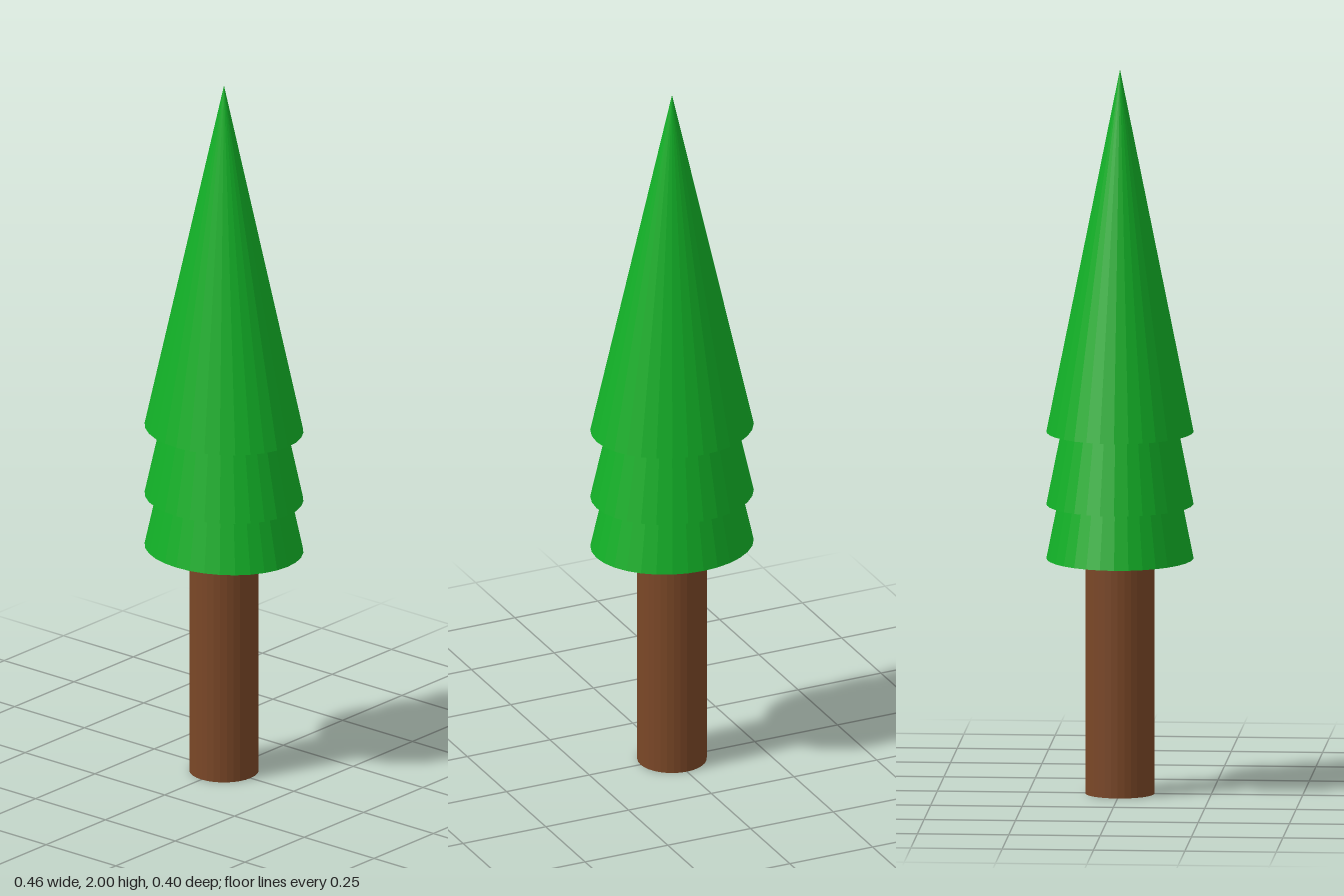
import * as THREE from 'three';

const SIDES = 32;

export function createModel() {
  const tree = new THREE.Group();
  tree.name = 'coniferTree';

  const leafGreen = new THREE.MeshStandardMaterial({ color: 0x12b027, flatShading: true });
  leafGreen.name = 'leafGreen';
  const barkBrown = new THREE.MeshStandardMaterial({ color: 0x7a4727, flatShading: true });
  barkBrown.name = 'barkBrown';

  // Trunk, reaching the underside of the lowest foliage tier
  const trunkHeight = 0.65;
  const trunk = new THREE.Mesh(
    new THREE.CylinderGeometry(0.095, 0.095, trunkHeight, SIDES), barkBrown);
  trunk.name = 'trunk';
  trunk.position.y = trunkHeight / 2;
  tree.add(trunk);

  // Three equal overlapping cones, slightly wider in x than in z
  const tierHeight = 1;
  const cone = new THREE.ConeGeometry(1, tierHeight, SIDES);
  cone.scale(0.228, 1, 0.201);
  cone.translate(0, tierHeight / 2, 0);
  const tiers = { lowerFoliage: 0.65, middleFoliage: 0.8, upperFoliage: 1 };
  for (const [name, baseY] of Object.entries(tiers)) {
    const tier = new THREE.Mesh(cone, leafGreen);
    tier.name = name;
    tier.position.y = baseY;
    tree.add(tier);
  }

  return tree;
}
